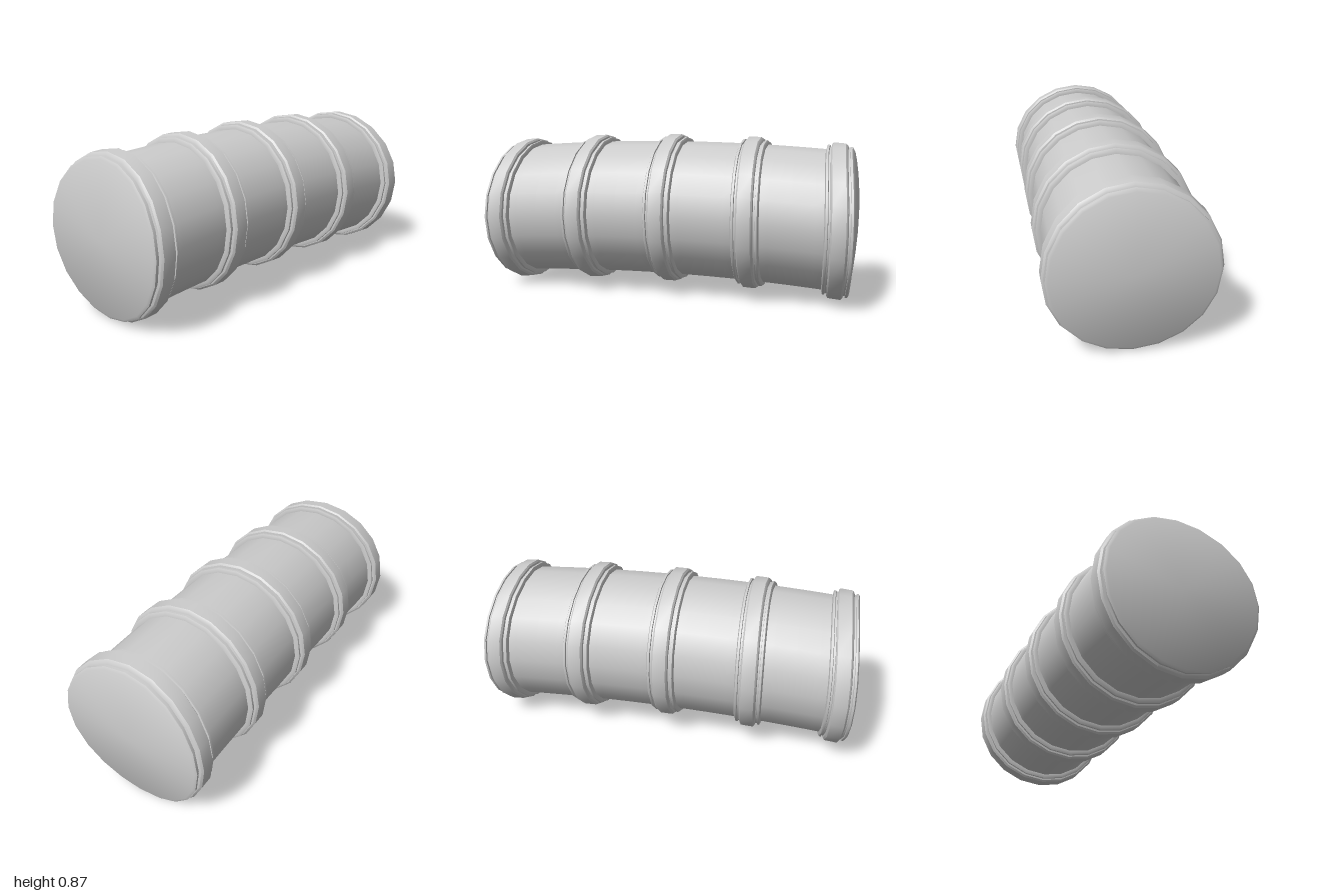
import * as THREE from 'three';
import { toCreasedNormals } from 'three/addons/utils/BufferGeometryUtils.js';

const SIDES = 20;
const SPACING = 0.464; // distance between collars

// Arch the pipe along z and pull the top and bottom of the ends inward.
function bend(geometry) {
  const p = geometry.attributes.position;
  for (let i = 0; i < p.count; i++) {
    const y = p.getY(i), z = p.getZ(i);
    p.setXYZ(i, p.getX(i), y + 0.455 - 0.0425 * z * z, z * (1 - 0.2 * y * y));
  }
  return toCreasedNormals(geometry, 0.5);
}

// Turn a [radius, z] profile around the z axis.
function turned(name, profile, material) {
  const points = profile.map(([r, z]) => new THREE.Vector2(r, z));
  const geometry = new THREE.LatheGeometry(points, SIDES).rotateX(Math.PI / 2);
  const mesh = new THREE.Mesh(bend(geometry), material);
  mesh.name = name;
  return mesh;
}

export function createModel() {
  const model = new THREE.Group();
  model.name = 'ribbedPipe';
  const grey = new THREE.MeshStandardMaterial({ color: 0xcccccc });

  // Half of a collar: wide raised band, groove, thin outer ring
  const half = [[0.415, 0.034], [0.405, 0.042], [0.392, 0.044],
    [0.392, 0.053], [0.4, 0.055], [0.4, 0.066], [0.387, 0.072]];
  const collar = [...half.map(([r, z]) => [r, -z]).reverse(), ...half];

  for (let i = -2; i <= 2; i++) {
    const centre = i * SPACING;
    const profile = collar.map(([r, z]) => [r, z + centre]);
    // Inner walls reach the pipe; the end collars are closed by a cap
    profile.unshift([i === -2 ? 0 : 0.37, centre - 0.072]);
    profile.push([i === 2 ? 0 : 0.37, centre + 0.072]);
    model.add(turned(Math.abs(i) === 2 ? 'endCollar' : 'collar', profile, grey));
  }

  // Plain pipe sections between the collars
  for (let i = -2; i < 2; i++) {
    const profile = [];
    for (let k = 0; k <= 4; k++) profile.push([0.376, (i + k / 4) * SPACING]);
    model.add(turned('pipeSection', profile, grey));
  }
  return model;
}
